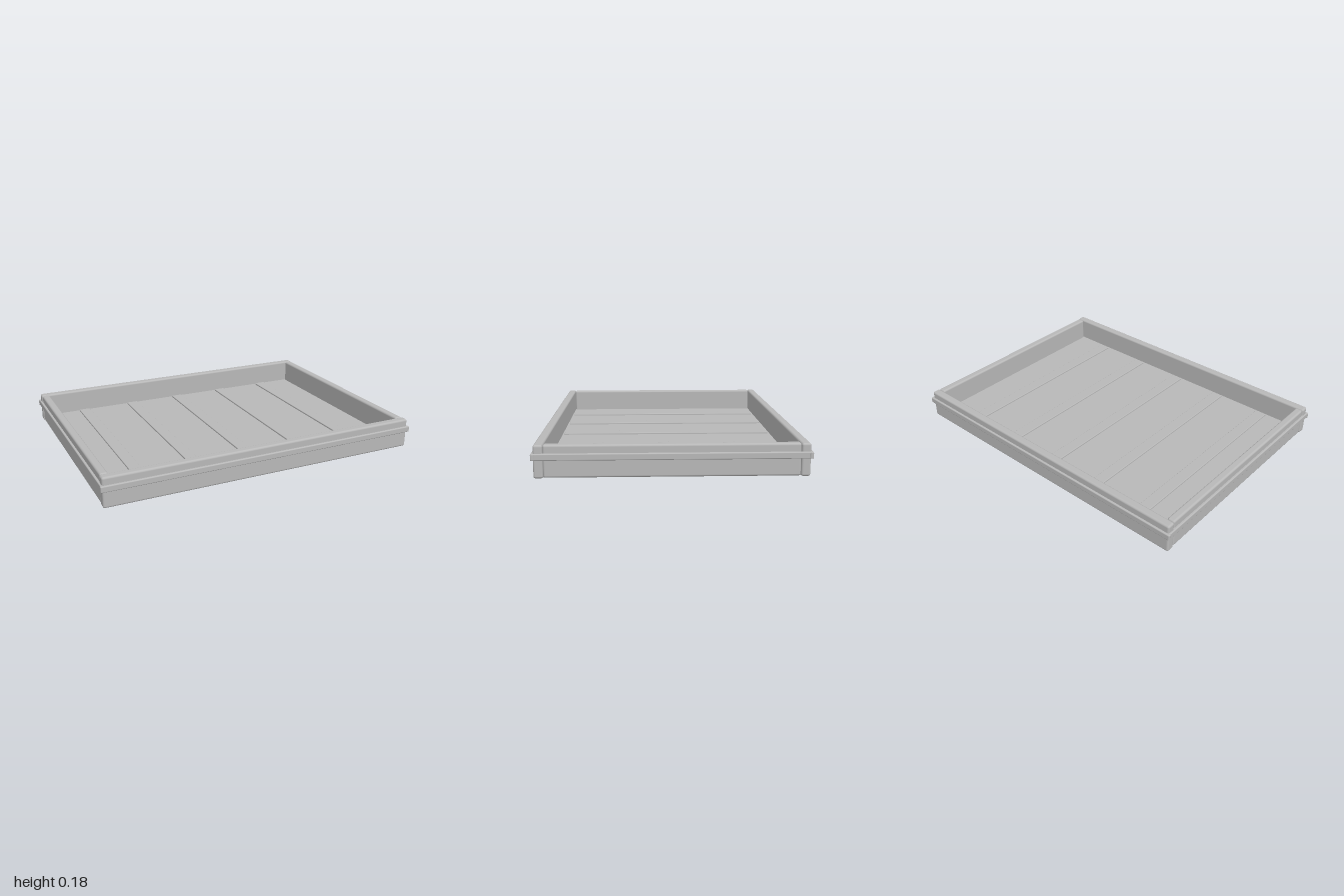
import * as THREE from 'three';
import { RoundedBoxGeometry } from 'three/addons/geometries/RoundedBoxGeometry.js';

export function createModel() {
  const tray = new THREE.Group();
  tray.name = 'tray';
  const grey = new THREE.MeshStandardMaterial({ color: 0xb8b8b8 });
  grey.name = 'plain grey';

  // Soft-edged block given by its extents on each axis
  function block(name, [x0, x1], [y0, y1], [z0, z1], radius) {
    const geometry = new RoundedBoxGeometry(x1 - x0, y1 - y0, z1 - z0, 3, radius);
    const mesh = new THREE.Mesh(geometry, grey);
    mesh.name = name;
    mesh.position.set((x0 + x1) / 2, (y0 + y1) / 2, (z0 + z1) / 2);
    tray.add(mesh);
  }
  // Range on the positive or negative side of an axis
  const side = (s, a, b) => (s > 0 ? [a, b] : [-b, -a]);

  // Floor panel
  block('floor', [-0.97, 0.97], [0.001, 0.035], [-0.72, 0.72], 0.004);

  // Raised slats running front to back
  for (let i = -2; i <= 2; i++) {
    const x = i * 0.35;
    block('floorSlat', [x - 0.037, x + 0.037], [0.025, 0.045], [-0.67, 0.67], 0.004);
  }

  for (const s of [1, -1]) {
    // Long walls cover the ends of the short walls
    block(s > 0 ? 'frontWall' : 'backWall', [-0.988, 0.988], [0, 0.18], side(s, 0.682, 0.733), 0.012);
    block(s > 0 ? 'leftWall' : 'rightWall', side(s, 0.936, 0.984), [0.002, 0.18], [-0.682, 0.682], 0.012);

    // Raised band around the outside
    block(s > 0 ? 'frontBand' : 'backBand', [-1, 1], [0.098, 0.135], side(s, 0.725, 0.745), 0.006);
    block(s > 0 ? 'leftBand' : 'rightBand', side(s, 0.975, 0.997), [0.098, 0.135], [-0.735, 0.735], 0.006);
  }
  return tray;
}
